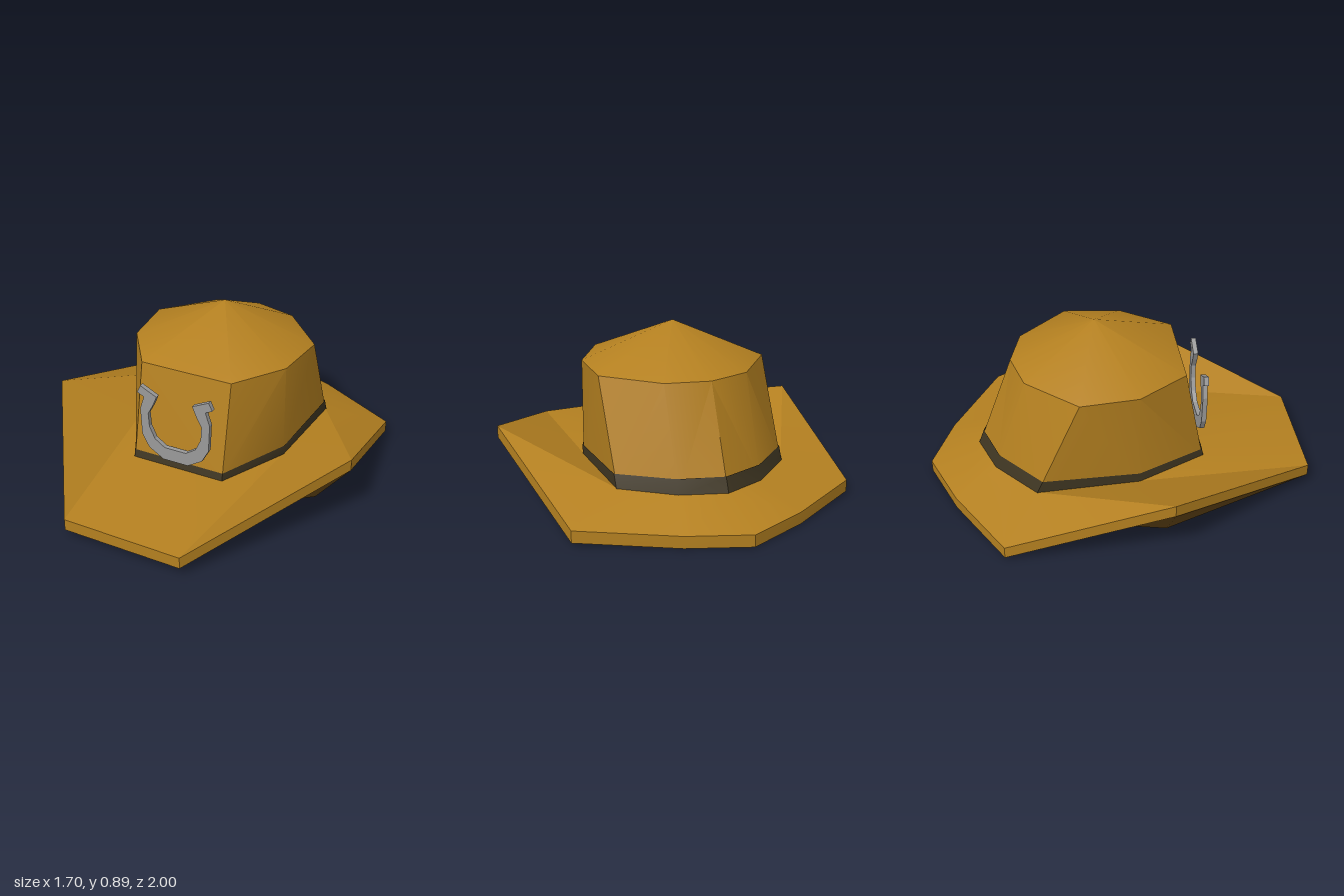
import * as THREE from 'three';
import { toCreasedNormals } from 'three/addons/utils/BufferGeometryUtils.js';

const mat = (name, color) => {
  const m = new THREE.MeshStandardMaterial({ color, side: THREE.DoubleSide });
  m.name = name;
  return m;
};

// Skins matching nine-point rings, listed from the top centre outward and down.
// With mirrored set, the quads of the second half are split the other way.
function loft(rings, crease, mirrored = false) {
  const pos = [];
  const tri = (...pts) => {
    const [a, b, c] = pts.map(p => new THREE.Vector3(...p));
    if (b.sub(a).cross(c.sub(a)).length() > 1e-9) pts.forEach(p => pos.push(...p));
  };
  for (let r = 0; r + 1 < rings.length; r++) {
    const a = rings[r], b = rings[r + 1];
    for (let i = 0; i < a.length; i++) {
      const j = (i + 1) % a.length;
      if (mirrored && i >= 4) {
        tri(a[i], b[i], b[j]);
        tri(a[i], b[j], a[j]);
      } else {
        tri(a[i], b[i], a[j]);
        tri(a[j], b[i], b[j]);
      }
    }
  }
  const g = new THREE.BufferGeometry();
  g.setAttribute('position', new THREE.Float32BufferAttribute(pos, 3));
  return toCreasedNormals(g, crease);
}

// Completes a ring from its left half: front, side, back corner, back, back centre.
const mirrorRing = half => [...half, ...half.slice(0, 4).reverse().map(([x, y, z]) => [-x, y, z])];
const lift = (ring, dy) => ring.map(([x, y, z]) => [x, y + dy, z]);
const point = (x, y, z) => Array.from({ length: 9 }, () => [x, y, z]);

export function createModel() {
  const hat = new THREE.Group();
  hat.name = 'hat';
  const leather = mat('tan leather', 0xb48020);
  const lining = mat('dark brown underside', 0x6a4a18);
  const dark = mat('dark band', 0x3f3622);
  const steel = mat('grey metal', 0x9a9a9a);
  const add = (name, geometry, material) => {
    const mesh = new THREE.Mesh(geometry, material);
    mesh.name = name;
    hat.add(mesh);
    return mesh;
  };

  const base = mirrorRing([[0.25, 0.17, 0.43], [0.43, 0.17, 0.07], [0.46, 0.17, -0.45], [0.225, 0.17, -0.65], [0, 0.17, -0.73]]);
  const shoulder = mirrorRing([[0.25, 0.68, 0.33], [0.43, 0.68, 0.07], [0.46, 0.68, -0.23], [0.225, 0.68, -0.485], [0, 0.68, -0.545]]);

  // Crown: tapered wall and low pointed top
  add('crownWall', loft([shoulder, base], 0.5, true), leather);
  add('crownTop', loft([point(0, 0.89, -0.11), shoulder], 0.8), leather);

  // Band: thin strip just outside the crown wall, taller towards the back
  const bandRing = rise => base.map((p, i) => p.map((v, k) => {
    const w = v + (shoulder[i][k] - v) * rise(p[2]);
    return k === 0 ? w * 1.01 : k === 2 ? (w + 0.13) * 1.01 - 0.13 : w;
  }));
  add('band', loft([bandRing(z => 0.105 - 0.06 * z), bandRing(() => 0)], 0.5, true), dark);

  // Brim: sides curl up, front and back dip
  const brimLower = [
    [0.31, 0.047, 1], [0.85, 0.28, 0.21], [0.765, 0.012, -0.62], [0.31, 0.003, -0.88], [0, 0, -1],
    [-0.33, 0.003, -0.87], [-0.75, 0.012, -0.635], [-0.85, 0.28, 0.19], [-0.33, 0.047, 0.99],
  ];
  const brimUpper = lift(brimLower, 0.062);
  add('brimTop', loft([base, brimUpper], 0.3, true), leather);
  add('brimEdge', loft([brimUpper, brimLower], 0.25), leather);

  // Underside: dark skin around a shallow recess
  const opening = mirrorRing([[0.29, 0.11, 0.58], [0.66, 0.04, 0.18], [0.54, 0.04, -0.4], [0.27, 0.06, -0.64], [0, 0.06, -0.74]]);
  const recessTop = lift(opening, 0.025);
  add('brimUnderside', loft([brimLower, opening], 1), lining);
  add('recessWall', loft([opening, recessTop], 0.25), leather);
  add('recessFloor', loft([recessTop, point(0, 0.1, -0.05)], 1), lining);

  // Horseshoe: extruded half outline and its mirror
  const half = [
    [0.07, 0.22], [0.15, 0.27], [0.188, 0.34], [0.195, 0.49], [0.172, 0.562], [0.21, 0.58], [0.19, 0.622],
    [0.1, 0.578], [0.12, 0.528], [0.15, 0.47], [0.145, 0.395], [0.115, 0.33], [0.06, 0.292],
  ];
  const outline = [...half, ...half.slice().reverse().map(([x, y]) => [-x, y])];
  const shoe = new THREE.ExtrudeGeometry(
    new THREE.Shape(outline.map(([x, y]) => new THREE.Vector2(x, y))),
    { depth: 0.025, bevelEnabled: false });
  add('horseshoe', shoe, steel).position.z = 0.431;

  return hat;
}
